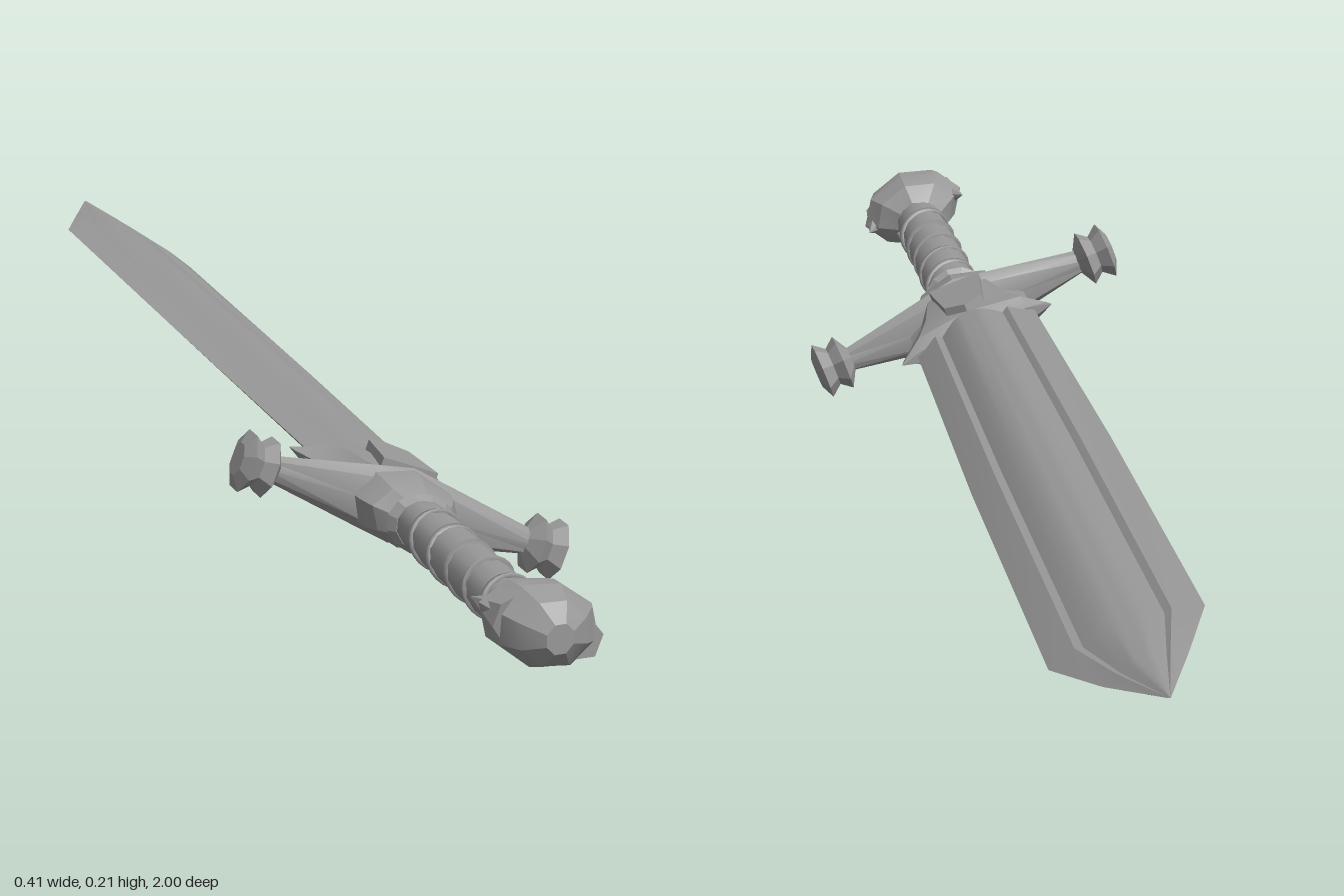
import * as THREE from 'three';
import { toCreasedNormals } from 'three/addons/utils/BufferGeometryUtils.js';

const steel = new THREE.MeshStandardMaterial({ color: 0x999999 });
steel.name = 'grey steel';

// Skin a row of cross-sections { z, pts, x, y }, z rising, points anticlockwise
function loft(sections, crease = 0.5) {
  const n = sections[0].pts.length, pos = [], idx = [];
  for (const { z, pts, x = 0, y = 0 } of sections)
    for (const p of pts) pos.push(p[0] + x, p[1] + y, z);
  for (let i = 0; i < sections.length - 1; i++)
    for (let j = 0; j < n; j++) {
      const a = i * n + j, b = i * n + (j + 1) % n;
      idx.push(a, b, b + n, a, b + n, a + n);
    }
  const last = sections.length - 1;
  for (const k of [0, last]) {
    const s = sections[k], c = pos.length / 3;
    pos.push(s.x || 0, s.y || 0, s.z);
    for (let j = 0; j < n; j++) {
      const a = k * n + j, b = k * n + (j + 1) % n;
      if (k === 0) idx.push(c, b, a); else idx.push(c, a, b);
    }
  }
  const g = new THREE.BufferGeometry();
  g.setAttribute('position', new THREE.Float32BufferAttribute(pos, 3));
  g.setIndex(idx);
  return toCreasedNormals(g.toNonIndexed(), crease);
}

const oval = (w, h, n = 8, turn = 0) => Array.from({ length: n }, (_, i) => {
  const a = (i / n) * Math.PI * 2 + turn;
  return [Math.cos(a) * w, Math.sin(a) * h];
});

// Blade section: bevelled edges, shallow grooves and a rounded middle
function bladeSection(w, t) {
  const top = [[w, 0], [0.62 * w, 0.55 * t], [0.52 * w, 0.42 * t]];
  for (let i = 1; i < 8; i++) {
    const u = 1 - i / 4;
    top.push([0.5 * w * u, t * (0.42 + 0.58 * (1 - u * u))]);
  }
  top.push([-0.52 * w, 0.42 * t], [-0.62 * w, 0.55 * t]);
  return [...top, ...top.map(([x, y]) => [-x, -y])];
}

function add(parent, name, geometry) {
  const m = new THREE.Mesh(geometry, steel);
  m.name = name;
  parent.add(m);
  return m;
}

export function createModel() {
  const model = new THREE.Group();
  model.name = 'sword';
  const body = new THREE.Group();
  body.name = 'tiltedSword';
  body.position.set(0.003, 0.106, 0);
  body.rotation.z = -0.361;
  model.add(body);

  // Blade
  add(body, 'blade', loft([
    { z: -1, pts: bladeSection(0.002, 0.001), x: -0.008, y: 0.022 },
    { z: -0.89, pts: bladeSection(0.05, 0.014), y: 0.014 },
    { z: -0.78, pts: bladeSection(0.092, 0.022), x: 0.003, y: 0.009 },
    { z: -0.2, pts: bladeSection(0.09, 0.026), x: 0.002, y: 0.009 },
    { z: 0.42, pts: bladeSection(0.08, 0.028), y: 0.008 },
  ], 0.4));

  // Flared collar that holds the blade
  add(body, 'bladeCollar', loft([
    { z: 0.335, pts: oval(0.105, 0.012), y: 0.006 },
    { z: 0.35, pts: oval(0.1, 0.03), y: 0.006 },
    { z: 0.39, pts: oval(0.076, 0.036), y: 0.006 },
    { z: 0.45, pts: oval(0.058, 0.04), y: 0.005 },
  ], 0.3));

  // Pointed plates on both faces of the collar
  for (const s of [1, -1]) {
    const shape = new THREE.Shape();
    shape.moveTo(-0.035, 0);
    shape.lineTo(0.035, 0);
    shape.lineTo(0.026, 0.085);
    shape.lineTo(0, 0.1);
    shape.lineTo(-0.026, 0.085);
    const g = new THREE.ExtrudeGeometry(shape, { depth: 0.012, bevelEnabled: false });
    const m = add(body, s > 0 ? 'upperPlate' : 'lowerPlate', g);
    m.rotation.x = -Math.PI / 2;
    m.position.set(0, s > 0 ? 0.034 : -0.04, 0.45);
  }

  // Crossguard, deep in the middle and tapering to its ends
  const guard = new THREE.Group();
  guard.name = 'crossguard';
  guard.position.z = 0.462;
  guard.rotation.y = 0.04;
  body.add(guard);
  const bar = add(guard, 'guardBar', loft([
    { z: -0.18, pts: oval(0.013, 0.013) },
    { z: -0.05, pts: oval(0.018, 0.037) },
    { z: 0, pts: oval(0.024, 0.046) },
    { z: 0.05, pts: oval(0.018, 0.037) },
    { z: 0.18, pts: oval(0.013, 0.013) },
  ], 0.6));
  bar.rotation.y = Math.PI / 2;

  // Flared knobs on the ends of the guard
  for (const s of [1, -1]) {
    const q = Math.PI / 8;
    const knob = add(guard, s > 0 ? 'leftKnob' : 'rightKnob', loft([
      { z: 0.162, pts: oval(0.014, 0.015, 8, q) },
      { z: 0.174, pts: oval(0.038, 0.036, 8, q) },
      { z: 0.188, pts: oval(0.026, 0.025, 8, q) },
      { z: 0.203, pts: oval(0.038, 0.037, 8, q) },
      { z: 0.211, pts: oval(0.018, 0.02, 8, q) },
    ], 0.2));
    knob.rotation.y = s * Math.PI / 2;
  }

  // Stepped socket between guard and grip
  add(body, 'gripSocket', loft([
    { z: 0.465, pts: oval(0.068, 0.044) },
    { z: 0.495, pts: oval(0.064, 0.042) },
    { z: 0.515, pts: oval(0.054, 0.036) },
    { z: 0.53, pts: oval(0.036, 0.03) },
  ], 0.3));
  add(body, 'gripRing', loft([
    { z: 0.53, pts: oval(0.03, 0.028, 12) },
    { z: 0.538, pts: oval(0.042, 0.036, 12) },
    { z: 0.548, pts: oval(0.034, 0.03, 12) },
  ], 0.3));

  // Grip with a raised spiral wrap
  add(body, 'grip', loft([
    { z: 0.54, pts: oval(0.033, 0.029, 12) },
    { z: 0.66, pts: oval(0.034, 0.031, 12) },
    { z: 0.8, pts: oval(0.033, 0.03, 12) },
    { z: 0.91, pts: oval(0.031, 0.028, 12) },
  ], 0.7));
  const wrap = [];
  for (let i = 0; i <= 80; i++) {
    const a = (i / 80) * Math.PI * 2 * 5;
    wrap.push(new THREE.Vector3(0.032 * Math.cos(a), 0.029 * Math.sin(a), 0.57 + 0.31 * i / 80));
  }
  add(body, 'gripWrap', new THREE.TubeGeometry(new THREE.CatmullRomCurve3(wrap), 120, 0.005, 4));

  // Pommel with drooping shoulders and a blunt end
  add(body, 'pommel', loft([
    { z: 0.885, pts: oval(0.03, 0.03) },
    { z: 0.905, pts: oval(0.056, 0.042), y: 0.008 },
    { z: 0.93, pts: oval(0.072, 0.047), y: 0.01 },
    { z: 0.95, pts: oval(0.062, 0.048), y: 0.01 },
    { z: 0.98, pts: oval(0.04, 0.038), y: 0.01 },
    { z: 1, pts: oval(0.016, 0.018), y: 0.01 },
  ], 0.35));
  for (const s of [1, -1]) {
    const tip = add(body, s > 0 ? 'leftPommelTip' : 'rightPommelTip',
      new THREE.ConeGeometry(0.026, 0.06, 6).toNonIndexed());
    tip.geometry.computeVertexNormals();
    tip.rotation.set(-Math.PI / 2, 0, -s * 0.5);
    tip.position.set(s * 0.056, 0.008, 0.926);
  }
  return model;
}
